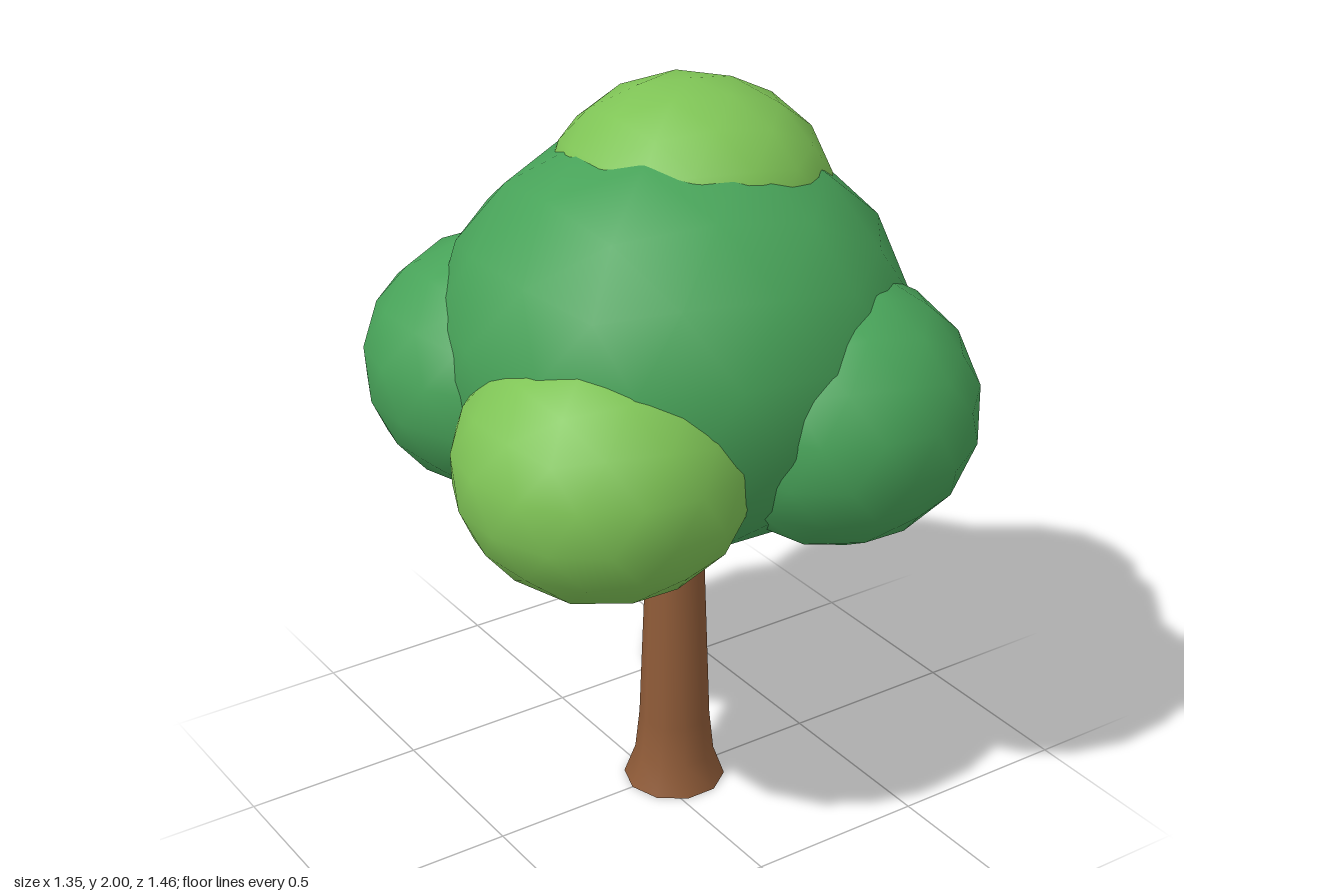
import * as THREE from 'three';

const bark = new THREE.MeshStandardMaterial({ name: 'bark brown', color: 0x8f5b38 });
const leaf = new THREE.MeshStandardMaterial({ name: 'leaf green', color: 0x48a359 });
const lime = new THREE.MeshStandardMaterial({ name: 'lime green', color: 0x7fc456 });

// Smooth low-poly ball with a vertex at each pole, squashed to the given half sizes
function foliage(name, material, position, halfSize) {
  const geometry = new THREE.IcosahedronGeometry(1, 2);
  geometry.rotateZ(-Math.atan(2 / (1 + Math.sqrt(5))));
  geometry.computeBoundingBox();
  const size = geometry.boundingBox.getSize(new THREE.Vector3());
  geometry.scale(...halfSize.map((h, i) => (2 * h) / size.getComponent(i)));
  const mesh = new THREE.Mesh(geometry, material);
  mesh.name = name;
  mesh.position.set(...position);
  return mesh;
}

// Ten-sided trunk with flared foot and a flat underside
function makeTrunk() {
  const trunk = new THREE.Group();
  trunk.name = 'trunk';
  const profile = [[0.14, 0], [0.109, 0.085], [0.097, 0.2], [0.075, 0.8], [0.07, 1]]
    .map(([r, y]) => new THREE.Vector2(r, y));
  const side = new THREE.Mesh(new THREE.LatheGeometry(profile, 10), bark);
  side.name = 'trunkSide';
  side.rotation.y = Math.PI / 2;
  const base = new THREE.Mesh(new THREE.CircleGeometry(0.14, 10), bark);
  base.name = 'trunkBase';
  base.rotation.x = Math.PI / 2;
  trunk.add(side, base);
  trunk.position.x = 0.06;
  return trunk;
}

export function createModel() {
  const tree = new THREE.Group();
  tree.name = 'tree';
  tree.add(makeTrunk());

  // Main crown and the clumps around it
  const clumps = [
    ['mainCrown', leaf, [0.06, 1.345, -0.01], [0.612, 0.557, 0.6]],
    ['topClump', lime, [0.14, 1.7, -0.06], [0.362, 0.3, 0.362]],
    ['frontLeftClump', leaf, [0.295, 1.223, 0.36], [0.367, 0.354, 0.372]],
    ['frontRightClump', lime, [-0.305, 1.167, 0.22], [0.373, 0.338, 0.38]],
    ['backLeftClump', leaf, [0.265, 1.195, -0.36], [0.37, 0.328, 0.37]],
    ['backRightClump', leaf, [-0.25, 1.245, -0.3], [0.386, 0.347, 0.386]],
  ];
  for (const clump of clumps) tree.add(foliage(...clump));
  return tree;
}
